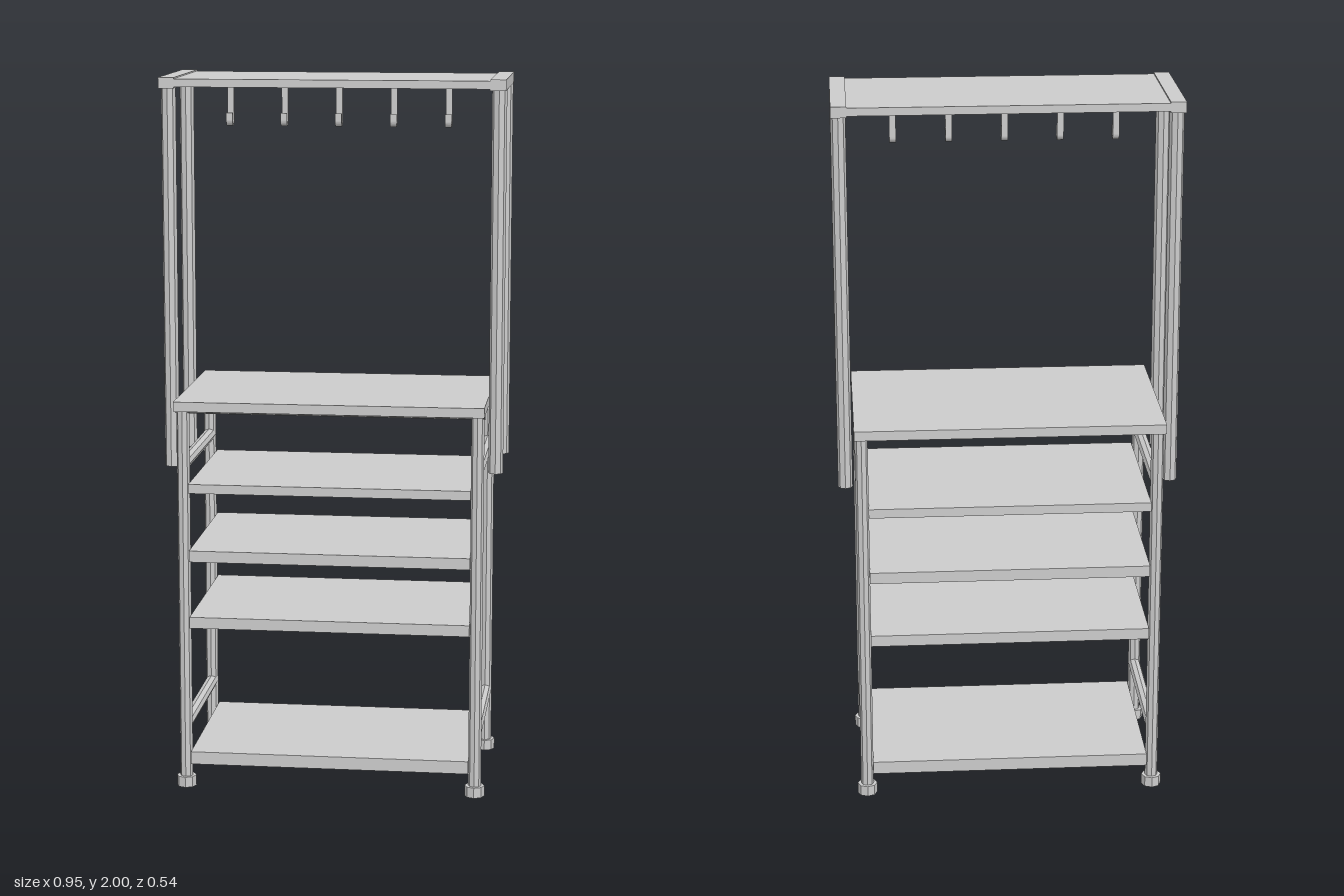
import * as THREE from 'three';

export function createModel() {
  const group = new THREE.Group();
  const mat = new THREE.MeshStandardMaterial({ color: 0xcccccc, flatShading: true });

  function add(name, geo, x, y, z) {
    const mesh = new THREE.Mesh(geo, mat);
    mesh.name = name;
    mesh.position.set(x, y, z);
    group.add(mesh);
    return mesh;
  }
  // Flat board given by half width, half depth and its bottom and top heights
  const board = (name, x, hw, hd, y0, y1) =>
    add(name, new THREE.BoxGeometry(hw * 2, y1 - y0, hd * 2), x, (y0 + y1) / 2, 0);
  // Upright octagonal tube
  const upright = (name, r, x, z, y0, y1) =>
    add(name, new THREE.CylinderGeometry(r, r, y1 - y0, 8), x, (y0 + y1) / 2, z);

  const legX = 0.41, legZ = 0.224, postX = 0.455, postZ = 0.145;

  // Worktop and lower shelves
  board('worktop', 0, 0.43, 0.268, 1.088, 1.115);
  for (const [y0, y1] of [[0.07, 0.106], [0.467, 0.499], [0.658, 0.69], [0.854, 0.88]])
    board('shelf', 0, 0.393, 0.25, y0, y1);

  // Top shelf
  board('topShelf', 0, 0.432, 0.19, 1.974, 1.996);

  for (const sx of [-1, 1]) {
    // Legs with feet, and the posts of the upper rack
    for (const sz of [-1, 1]) {
      upright('leg', 0.018, sx * legX, sz * legZ, 0.02, 1.09);
      upright('foot', 0.028, sx * legX, sz * legZ, 0, 0.03);
      upright('post', 0.0205, sx * postX, sz * postZ, 0.912, 1.975);
    }
    // Cap beam across the two posts
    board('endCap', sx * 0.4535, 0.0215, 0.193, 1.97, 2);
    // Side rails between front and back legs
    for (const y of [0.181, 0.933]) {
      const geo = new THREE.CylinderGeometry(0.0175, 0.0175, legZ * 2, 8).rotateX(Math.PI / 2);
      add('sideRail', geo, sx * legX, y, 0);
    }
  }

  // Long rails under the worktop
  for (const sz of [-1, 1]) {
    const geo = new THREE.CylinderGeometry(0.018, 0.018, 0.86, 8).rotateZ(Math.PI / 2);
    add('topRail', geo, 0, 1.094, sz * legZ);
  }

  // Flat J-shaped hooks, profile drawn with z to the right and y up
  const w = 0.018, ro = 0.017, ri = 0.01, yc = 1.873;
  const hook = new THREE.Shape();
  hook.moveTo(-ro, 1.976);
  hook.lineTo(-ro, yc);
  hook.absarc(0, yc, ro, Math.PI, Math.PI * 2, false);
  hook.lineTo(ro, 1.893);
  hook.lineTo(ri, 1.893);
  hook.lineTo(ri, yc);
  hook.absarc(0, yc, ri, Math.PI * 2, Math.PI, true);
  hook.lineTo(-ri, 1.976);
  const hookGeo = new THREE.ExtrudeGeometry(hook, { depth: w, bevelEnabled: false, curveSegments: 8 });
  hookGeo.rotateY(-Math.PI / 2).translate(w / 2, 0, 0);
  for (let i = -2; i <= 2; i++) add('hook', hookGeo, i * 0.153, 0, 0.004);

  return group;
}
